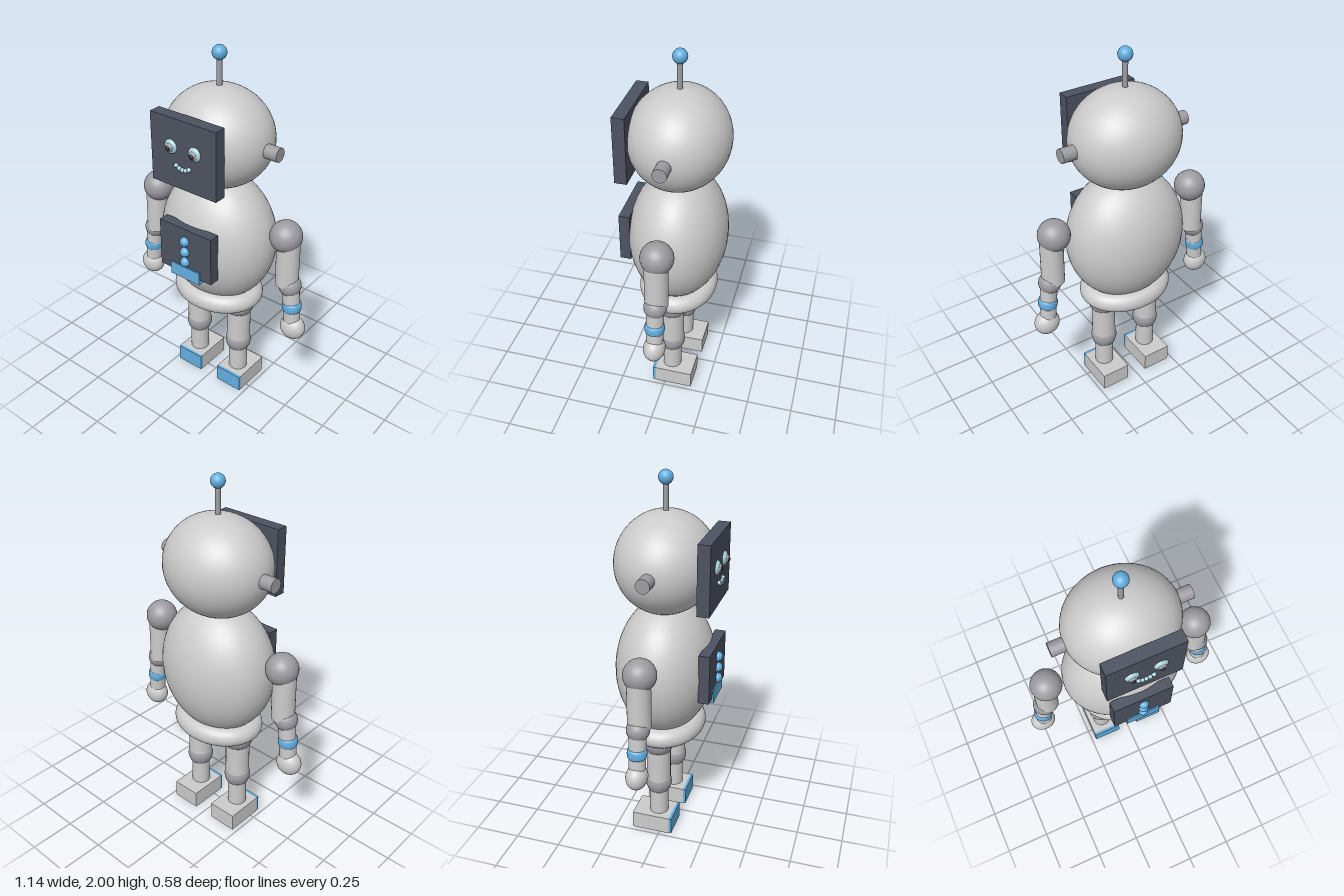
import * as THREE from 'three';

const mat = (color) => new THREE.MeshStandardMaterial({ color });
const grey = mat(0xcccccc), joint = mat(0x9c9ca2), blue = mat(0x62aee0);
const dark = mat(0x4c5260), pale = mat(0xa9d3dc), black = mat(0x22262c);
const Z = -0.026; // depth of the body axis

function add(parent, name, geometry, material, x, y, z) {
  const mesh = new THREE.Mesh(geometry, material);
  mesh.name = name;
  mesh.position.set(x, y, z);
  parent.add(mesh);
  return mesh;
}

function ellipsoid(parent, name, material, [x, y, z], [rx, ry, rz], detail = 32) {
  const g = new THREE.SphereGeometry(1, detail, Math.round(detail * 0.75)).scale(rx, ry, rz);
  return add(parent, name, g, material, x, y, z);
}

const ball = (parent, name, material, p, r, detail = 28) => ellipsoid(parent, name, material, p, [r, r, r], detail);

const box = (parent, name, material, [x0, x1], [y0, y1], [z0, z1]) =>
  add(parent, name, new THREE.BoxGeometry(x1 - x0, y1 - y0, z1 - z0), material,
    (x0 + x1) / 2, (y0 + y1) / 2, (z0 + z1) / 2);

// Cylinder running between two points (first point is the bottom)
function rod(parent, name, material, a, b, r0, r1 = r0) {
  const p = new THREE.Vector3(...a), q = new THREE.Vector3(...b);
  const d = q.clone().sub(p);
  const m = add(parent, name, new THREE.CylinderGeometry(r1, r0, d.length(), 28), material, 0, 0, 0);
  m.position.copy(p).add(q).multiplyScalar(0.5);
  m.quaternion.setFromUnitVectors(new THREE.Vector3(0, 1, 0), d.normalize());
  return m;
}

function lathe(parent, name, material, points, x, y, z) {
  const curve = new THREE.SplineCurve(points.map(([r, h]) => new THREE.Vector2(r, h)));
  const pts = curve.getPoints(24);
  pts.forEach((p) => { p.x = Math.max(p.x, 0); });
  return add(parent, name, new THREE.LatheGeometry(pts, 40), material, x, y, z);
}

function buildArm(s) {
  const arm = new THREE.Group();
  arm.name = s > 0 ? 'leftArm' : 'rightArm';
  ball(arm, 'shoulder', joint, [s * 0.425, 1.105, Z], 0.085);
  rod(arm, 'upperArm', grey, [s * 0.445, 0.825, Z], [s * 0.442, 1.1, Z], 0.061);
  ball(arm, 'elbow', joint, [s * 0.466, 0.82, Z], 0.06);
  rod(arm, 'forearm', grey, [s * 0.49, 0.6, Z], [s * 0.472, 0.81, Z], 0.044, 0.046);
  // Rounded wrist band
  const band = lathe(arm, 'wristBand', blue,
    [[0.043, -0.027], [0.05, -0.018], [0.052, 0], [0.05, 0.018], [0.043, 0.027]], s * 0.485, 0.696, Z);
  band.rotation.z = s * 0.08;
  ellipsoid(arm, 'hand', grey, [s * 0.498, 0.562, Z], [0.07, 0.069, 0.057]);
  return arm;
}

function buildLeg(s) {
  const leg = new THREE.Group();
  leg.name = s > 0 ? 'leftLeg' : 'rightLeg';
  const x = s * 0.143;
  ball(leg, 'hip', joint, [x, 0.56, Z], 0.085);
  rod(leg, 'upperLeg', grey, [x, 0.29, Z], [x, 0.53, Z], 0.066);
  lathe(leg, 'knee', joint,
    [[0.05, -0.048], [0.062, -0.036], [0.072, 0], [0.066, 0.032], [0.055, 0.04]], x, 0.29, Z);
  rod(leg, 'lowerLeg', grey, [x, 0.09, Z], [x, 0.28, Z], 0.052);
  // Foot block with a blue toe cap
  const sides = [x - 0.082, x + 0.082];
  box(leg, 'foot', grey, sides, [0, 0.1], [-0.157, 0.055]);
  box(leg, 'toeCap', blue, sides, [0.003, 0.1], [0.055, 0.07]);
  return leg;
}

function buildFace() {
  const face = new THREE.Group();
  face.name = 'face';
  box(face, 'facePlate', dark, [-0.2, 0.2], [1.345, 1.71], [0.19, 0.255]);
  for (const s of [-1, 1]) {
    const x = s * 0.073;
    ellipsoid(face, 'eye', pale, [x, 1.56, 0.255], [0.037, 0.037, 0.02], 24);
    ellipsoid(face, 'iris', joint, [x, 1.559, 0.266], [0.024, 0.024, 0.016], 20);
    ball(face, 'pupil', black, [x, 1.557, 0.274], 0.014, 16);
  }
  // Smile made of beads
  for (let i = -2; i <= 2; i++) {
    ball(face, 'mouthBead', pale, [i * 0.02, 1.456 + 0.0035 * i * i, 0.259], 0.012, 14);
  }
  return face;
}

function buildChest() {
  const chest = new THREE.Group();
  chest.name = 'chestPanel';
  box(chest, 'chestPlate', dark, [-0.167, 0.167], [0.845, 1.118], [0.197, 0.255]);
  for (const y of [0.92, 0.982, 1.045]) ball(chest, 'button', blue, [0, y, 0.256], 0.027, 20);
  box(chest, 'chestLabel', blue, [-0.095, 0.095], [0.815, 0.888], [0.215, 0.262]);
  return chest;
}

export function createModel() {
  const robot = new THREE.Group();
  robot.name = 'robot';

  // Head, ears and antenna
  ellipsoid(robot, 'head', grey, [0, 1.537, Z], [0.295, 0.265, 0.262], 48);
  for (const s of [-1, 1]) rod(robot, 'ear', joint, [s * 0.25, 1.537, Z], [s * 0.366, 1.537, Z], 0.037);
  rod(robot, 'antennaRod', joint, [0, 1.78, Z], [0, 1.95, Z], 0.014);
  ball(robot, 'antennaTip', blue, [0, 1.963, Z], 0.037);

  // Torso and dished pelvis
  ellipsoid(robot, 'torso', grey, [0, 0.962, Z], [0.333, 0.375, 0.262], 48);
  const pelvis = lathe(robot, 'pelvis', grey,
    [[0, 0.508], [0.1, 0.52], [0.2, 0.551], [0.25, 0.58], [0.263, 0.613], [0.25, 0.647], [0.215, 0.668], [0.16, 0.672]],
    0, 0, Z);
  pelvis.scale.z = 0.815;

  robot.add(buildFace(), buildChest());
  for (const s of [-1, 1]) robot.add(buildArm(s), buildLeg(s));
  return robot;
}
